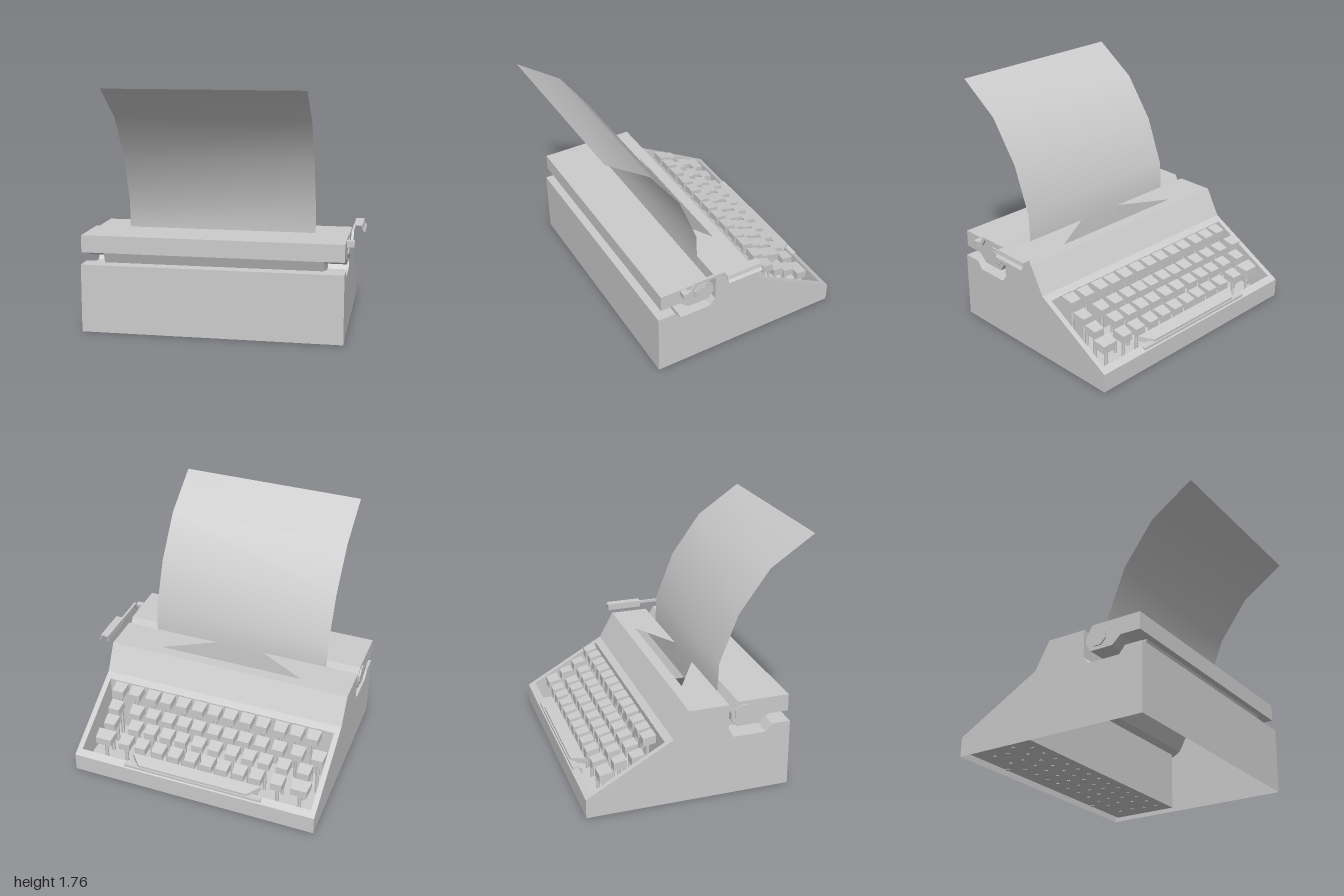
import * as THREE from 'three';

const mat = new THREE.MeshStandardMaterial({ color: 0xcccccc, flatShading: true, side: THREE.DoubleSide });
const smoothMat = new THREE.MeshStandardMaterial({ color: 0xcccccc, side: THREE.DoubleSide });
const X0 = -0.99, X1 = 0.89; // body ends

function add(parent, name, geometry, material = mat) {
  const mesh = new THREE.Mesh(geometry, material);
  mesh.name = name;
  parent.add(mesh);
  return mesh;
}

const sideShape = pts => new THREE.Shape(pts.map(([z, y]) => new THREE.Vector2(-z, y)));

// flat sheet with a [z, y] outline at a given x
function sideSheet(pts, x) {
  return new THREE.ShapeGeometry(sideShape(pts)).rotateY(Math.PI / 2).translate(x, 0, 0);
}

// solid with a [z, y] outline running from x0 to x1
function prism(pts, x0, x1) {
  return new THREE.ExtrudeGeometry(sideShape(pts), { depth: x1 - x0, bevelEnabled: false })
    .rotateY(Math.PI / 2).translate(x0, 0, 0);
}

const fullStrip = (x0, x1) => [[x0, 0], [x1, 0], [x1, 1], [x0, 1]];

// sheet between profile points a and b; outline in [x, fraction from a to b]
function panel(a, b, outline, hole) {
  const dir = new THREE.Vector3(0, b[1] - a[1], b[0] - a[0]);
  const len = dir.length();
  dir.normalize();
  const toVec = pts => pts.map(([x, t]) => new THREE.Vector2(x, t * len));
  const shape = new THREE.Shape(toVec(outline));
  if (hole) shape.holes.push(new THREE.Path(toVec(hole)));
  const xAxis = new THREE.Vector3(1, 0, 0);
  const m = new THREE.Matrix4().makeBasis(xAxis, dir, xAxis.clone().cross(dir)).setPosition(0, a[1], a[0]);
  return new THREE.ShapeGeometry(shape).applyMatrix4(m);
}

function box(x0, x1, y0, y1, z0, z1) {
  return new THREE.BoxGeometry(x1 - x0, y1 - y0, z1 - z0)
    .translate((x0 + x1) / 2, (y0 + y1) / 2, (z0 + z1) / 2);
}

function buildBody() {
  const g = new THREE.Group();
  g.name = 'body';
  // open-bottomed shell, back wall first, ending at the front lip
  const p = [[0.62, 0], [0.62, 0.495], [0.485, 0.495], [0.44, 0.44], [0.2, 0.44], [0.16, 0.49],
    [0.16, 0.69], [-0.13, 0.69], [-0.24, 0.49], [-0.86, 0.14], [-0.86, 0]];
  const outlines = {
    // notch where the type bars strike the paper
    5: [[X0, 0], [X1, 0], [X1, 1], [0.14, 1], [0.14, 0.1], [-0.24, 0.1], [-0.24, 1], [X0, 1]],
    6: [[X0, 0], [-0.24, 0], [-0.61, 0.72], [0.51, 0.72], [0.14, 0], [X1, 0], [X1, 1], [X0, 1]],
  };
  const wellHole = [[-0.95, 0.08], [-0.95, 0.92], [0.85, 0.92], [0.85, 0.08]];
  for (let i = 0; i < p.length - 1; i++) {
    add(g, 'bodyPanel', panel(p[i], p[i + 1], outlines[i] || fullStrip(X0, X1), i === 8 ? wellHole : null));
  }
  for (const x of [X0, X1]) add(g, 'bodySide', sideSheet(p, x));

  // keyboard well
  const w = [[-0.29, 0.02], [-0.29, 0.462], [-0.81, 0.168], [-0.81, 0.02]];
  const strip = fullStrip(-0.95, 0.85);
  add(g, 'wellBack', panel(w[0], w[1], strip));
  add(g, 'wellFront', panel(w[2], w[3], strip));
  add(g, 'wellFloor', panel(w[3], w[0], strip));
  for (const x of [-0.95, 0.85]) add(g, 'wellSide', sideSheet(w, x));
  return g;
}

// tapered key cap with a top sloping down to the front, unit width
function keyGeometry(height) {
  const geo = new THREE.BoxGeometry(1, height, 0.09);
  const pos = geo.attributes.position;
  for (let i = 0; i < pos.count; i++) {
    const z = pos.getZ(i);
    if (z < 0) pos.setX(i, pos.getX(i) * 0.84);
    pos.setY(i, pos.getY(i) + z * 0.24);
  }
  geo.computeVertexNormals();
  return geo;
}

function buildKeyboard() {
  const g = new THREE.Group();
  g.name = 'keyboard';
  const cap = keyGeometry(0.06);
  const rows = [
    { z: -0.69, top: 0.259, wide: true, xs: [-0.83, -0.66, -0.5, -0.37, -0.24, -0.12, 0.01, 0.14, 0.27, 0.41, 0.54, 0.71] },
    { z: -0.58, top: 0.32, xs: [-0.825, -0.665, -0.525, -0.4, -0.27, -0.135, -0.005, 0.13, 0.25, 0.38, 0.51, 0.71] },
    { z: -0.475, top: 0.381, xs: [-0.895, -0.74, -0.595, -0.46, -0.33, -0.21, -0.09, 0.04, 0.155, 0.28, 0.41, 0.545, 0.72] },
    { z: -0.37, top: 0.472, xs: [-0.82, -0.695, -0.57, -0.43, -0.305, -0.175, -0.05, 0.075, 0.205, 0.335, 0.455, 0.595, 0.73] },
  ];
  for (const { z, top, wide, xs } of rows) {
    const stemHeight = top - 0.05 - 0.015;
    const stem = new THREE.CylinderGeometry(0.014, 0.014, stemHeight, 6);
    xs.forEach((x, i) => {
      const key = add(g, 'key', cap);
      key.position.set(x, top - 0.03, z);
      key.scale.x = wide && (i === 0 || i === xs.length - 1) ? 0.145 : 0.102;
      add(g, 'keyStem', stem).position.set(x, 0.015 + stemHeight / 2, z);
    });
  }
  // space bar with its carrier strip and legs
  const bar = add(g, 'spaceBar', keyGeometry(0.04));
  bar.position.set(-0.05, 0.174, -0.795);
  bar.scale.x = 1.01;
  add(g, 'spaceBarCarrier', box(-0.585, 0.485, 0.145, 0.165, -0.85, -0.805));
  for (const x of [-0.57, 0.47]) add(g, 'spaceBarLeg', box(x - 0.012, x + 0.012, 0.015, 0.15, -0.81, -0.78));
  return g;
}

function buildCarriage() {
  const g = new THREE.Group();
  g.name = 'carriage';
  add(g, 'carriageHousing', prism([[0.6, 0.58], [0.6, 0.705], [0.225, 0.705], [0.178, 0.625], [0.178, 0.575],
    [0.215, 0.52], [0.385, 0.52], [0.45, 0.58]], X0, X1));
  add(g, 'carriageRail', prism([[0.555, 0.58], [0.52, 0.495], [0.48, 0.485], [0.44, 0.45], [0.21, 0.45], [0.21, 0.58]],
    -0.84, 0.74));
  // octagonal platen knobs at both ends
  for (const [x, r, w] of [[-0.99, 0.072, 0.02], [0.89, 0.072, 0.02], [0.896, 0.052, 0.02], [-0.99, 0.052, 0.02]]) {
    const knob = add(g, 'platenKnob', new THREE.CylinderGeometry(r, r, w, 8).rotateY(Math.PI / 8).rotateZ(Math.PI / 2));
    knob.position.set(x, 0.612, 0.27);
  }
  // return lever: bracket, cranked arm and bent grip
  add(g, 'leverBracket', box(0.885, 0.945, 0.657, 0.7, 0.405, 0.45));
  add(g, 'leverArm', prism([[0.42, 0.7], [0.385, 0.7], [0.35, 0.755], [0.1, 0.755], [0.1, 0.735],
    [0.335, 0.735], [0.37, 0.68], [0.42, 0.68]], 0.915, 0.932));
  const grip = new THREE.Shape([[0.918, 0.705], [0.918, 0.755], [0.98, 0.755], [0.985, 0.725], [1, 0.705],
    [0.992, 0.705], [0.979, 0.723], [0.975, 0.749], [0.924, 0.749], [0.924, 0.705]]
    .map(([x, y]) => new THREE.Vector2(x, y)));
  add(g, 'leverGrip', new THREE.ExtrudeGeometry(grip, { depth: 0.277, bevelEnabled: false }).translate(0, 0, -0.155));
  return g;
}

// curved sheet, rising in front of the platen and falling away behind
function buildPaper() {
  const curve = [[0.166, 0.5], [0.166, 0.66], [0.177, 0.89], [0.313, 1.24], [0.535, 1.547], [0.855, 1.765]];
  const geo = new THREE.PlaneGeometry(1.39, 1, 1, curve.length - 1);
  const pos = geo.attributes.position;
  for (let i = 0; i < pos.count; i++) {
    const [z, y] = curve[curve.length - 1 - Math.floor(i / 2)];
    pos.setXYZ(i, pos.getX(i) - 0.05, y, z);
  }
  geo.computeVertexNormals();
  return geo;
}

export function createModel() {
  const model = new THREE.Group();
  model.name = 'typewriter';
  model.add(buildBody(), buildKeyboard(), buildCarriage());
  add(model, 'paper', buildPaper(), smoothMat);
  return model;
}
